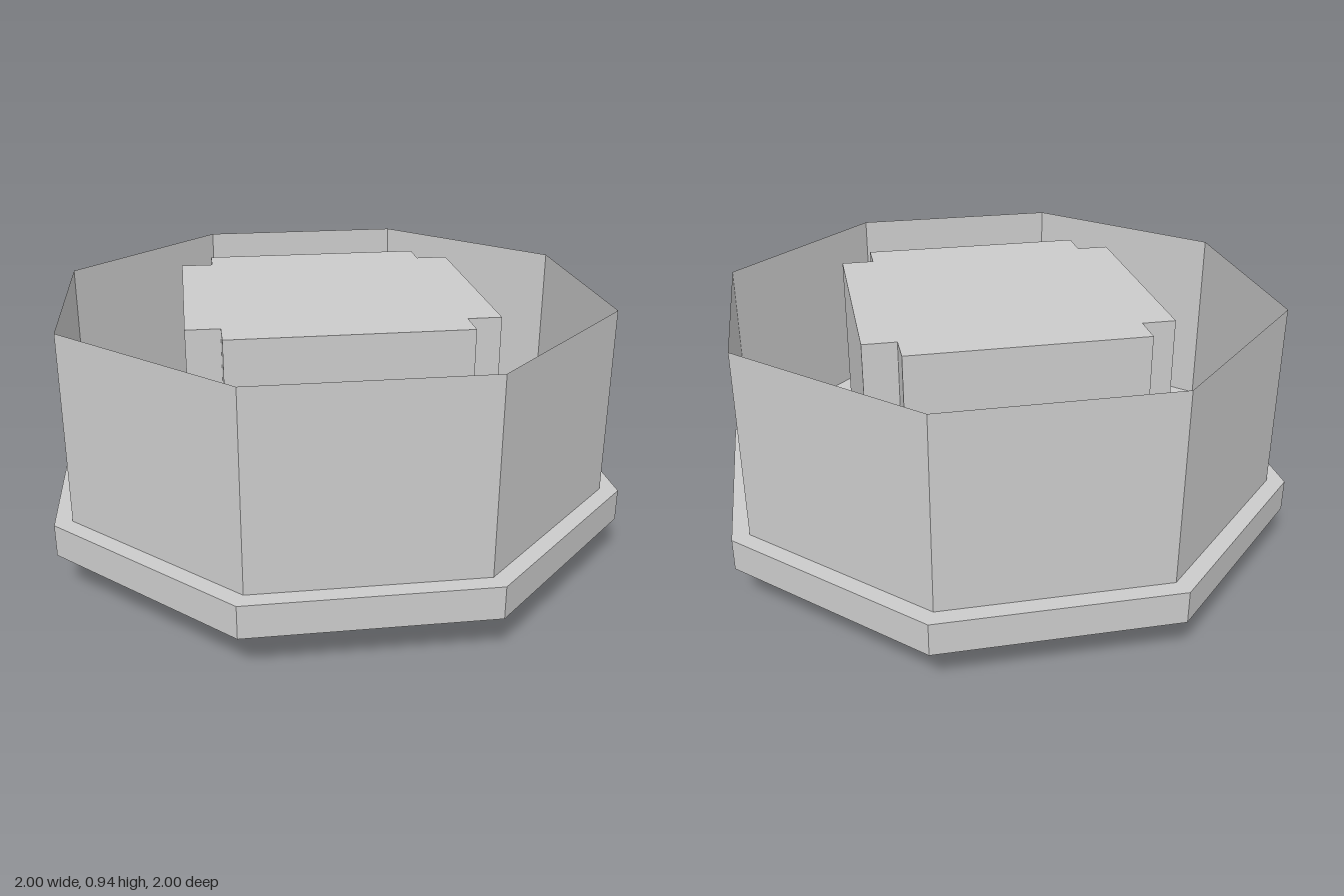
import * as THREE from 'three';

const grey = new THREE.MeshStandardMaterial({ color: 0xcccccc, flatShading: true });
const thinGrey = new THREE.MeshStandardMaterial({ color: 0xcccccc, flatShading: true, side: THREE.DoubleSide });

// Octagonal prism with flat sides facing the axes, sized by its half width
function octagon(halfWidth, y0, y1, open) {
  const r = halfWidth / Math.cos(Math.PI / 8);
  const geometry = new THREE.CylinderGeometry(r, r, y1 - y0, 8, 1, open, Math.PI / 8);
  return geometry.translate(0, (y0 + y1) / 2, 0);
}

// Square block with its four corners notched
function notchedBlock(outer, inner, y0, y1) {
  const shape = new THREE.Shape([
    [outer, -inner], [outer, inner], [inner, inner], [inner, outer],
    [-inner, outer], [-inner, inner], [-outer, inner], [-outer, -inner],
    [-inner, -inner], [-inner, -outer], [inner, -outer], [inner, -inner],
  ].map(([x, y]) => new THREE.Vector2(x, y)));
  const geometry = new THREE.ExtrudeGeometry(shape, { depth: y1 - y0, bevelEnabled: false });
  return geometry.rotateX(-Math.PI / 2).translate(0, y0, 0);
}

export function createModel() {
  const model = new THREE.Group();
  const add = (name, geometry, material = grey) => {
    const mesh = new THREE.Mesh(geometry, material);
    mesh.name = name;
    model.add(mesh);
  };

  // Base slab, whose rim projects past the wall
  add('basePlate', octagon(1, 0.15, 0.265, false));
  // Paper-thin open wall
  add('outerWall', octagon(0.94, 0.265, 0.94, true), thinGrey);
  // Core passes through the base and shows a little below it
  add('core', notchedBlock(0.527, 0.41, 0.12, 0.94));
  // Square peg underneath
  add('bottomPeg', new THREE.BoxGeometry(0.23, 0.12, 0.23).translate(0, 0.06, 0));

  return model;
}
